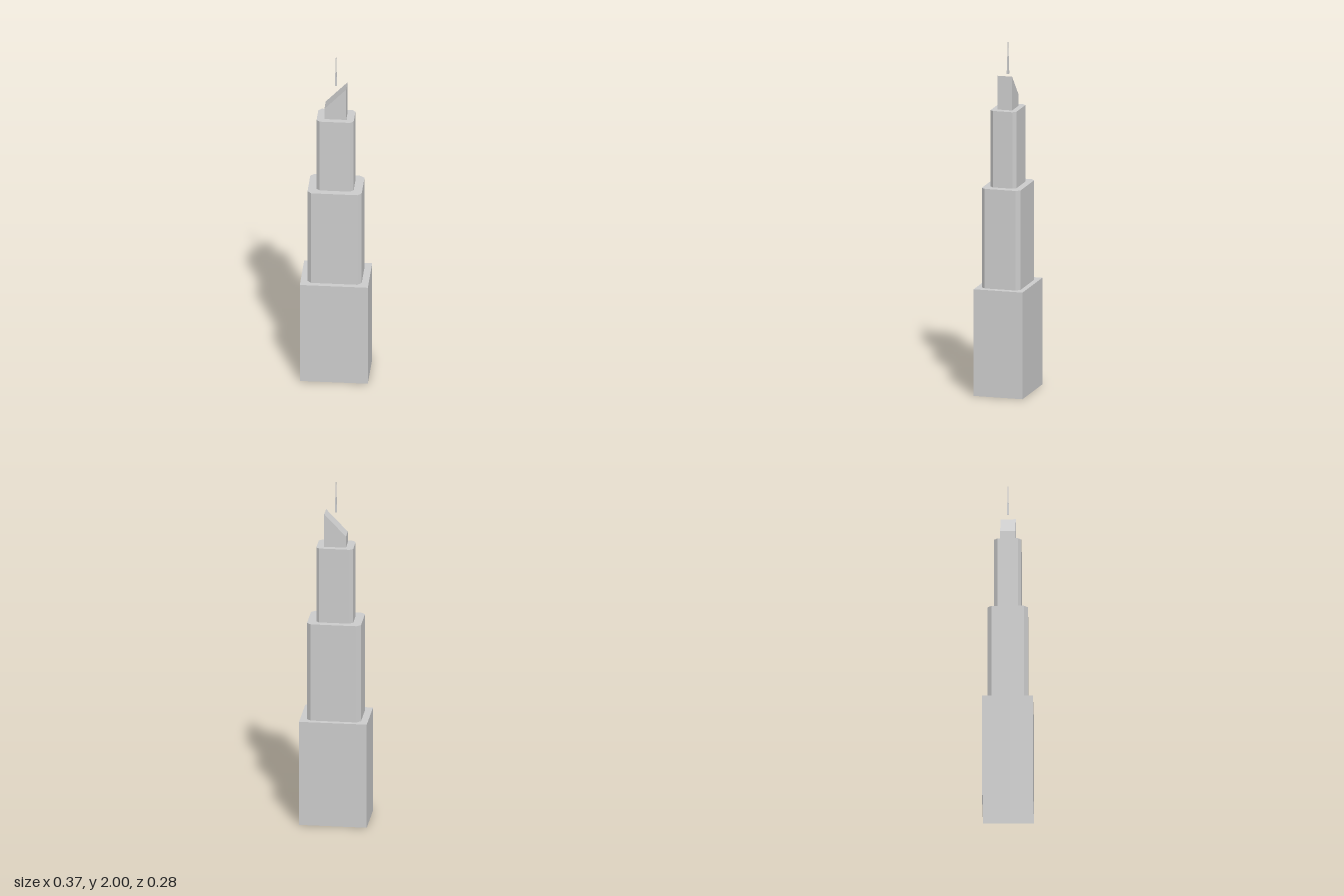
import * as THREE from 'three';

// Rectangle outline with optional cut corners, as [x, z] pairs
function outline(x, z, c = 0) {
  if (c === 0) return [[x, z], [x, -z], [-x, -z], [-x, z]];
  return [
    [x, z - c], [x, c - z], [x - c, -z], [c - x, -z],
    [-x, c - z], [-x, z - c], [c - x, z], [x - c, z],
  ];
}

// Walls and roof over an outline, open underneath; topAt gives the roof height at x
function tower(points, bottom, topAt) {
  const pos = [];
  const low = points.map(([x, z]) => [x, bottom, z]);
  const high = points.map(([x, z]) => [x, topAt(x), z]);
  const n = points.length;
  for (let i = 0; i < n; i++) {
    const j = (i + 1) % n;
    pos.push(...low[i], ...low[j], ...high[j], ...low[i], ...high[j], ...high[i]);
  }
  for (let i = 1; i < n - 1; i++) pos.push(...high[0], ...high[i], ...high[i + 1]);
  const geometry = new THREE.BufferGeometry();
  geometry.setAttribute('position', new THREE.Float32BufferAttribute(pos, 3));
  geometry.computeVertexNormals();
  return geometry;
}

export function createModel() {
  const model = new THREE.Group();
  model.name = 'skyscraper';
  const concrete = new THREE.MeshStandardMaterial({ color: 0xcccccc, side: THREE.DoubleSide });
  concrete.name = 'lightGrey';

  const add = (name, geometry) => {
    const mesh = new THREE.Mesh(geometry, concrete);
    mesh.name = name;
    model.add(mesh);
  };

  // Stacked tiers: half width, half depth, corner cut, bottom, top
  const tiers = [
    ['baseTier', 0.187, 0.14, 0, 0, 0.6],
    ['middleTier', 0.149, 0.111, 0.022, 0.6, 1.16],
    ['upperTier', 0.102, 0.074, 0.018, 1.16, 1.59],
  ];
  for (const [name, x, z, cut, bottom, top] of tiers) {
    add(name, tower(outline(x, z, cut), bottom, () => top));
  }

  // Crown with a roof rising towards +x
  add('slopedCrown', tower(outline(0.06, 0.042), 1.59, (x) => 1.717 + x * 1.05));

  // Slim four-sided spire, standing clear of the slope
  const spire = new THREE.ConeGeometry(0.006 * Math.SQRT2, 0.22, 4, 1, true).toNonIndexed();
  spire.computeVertexNormals();
  spire.rotateY(Math.PI / 4);
  spire.translate(0, 1.89, 0);
  add('spire', spire);

  return model;
}
